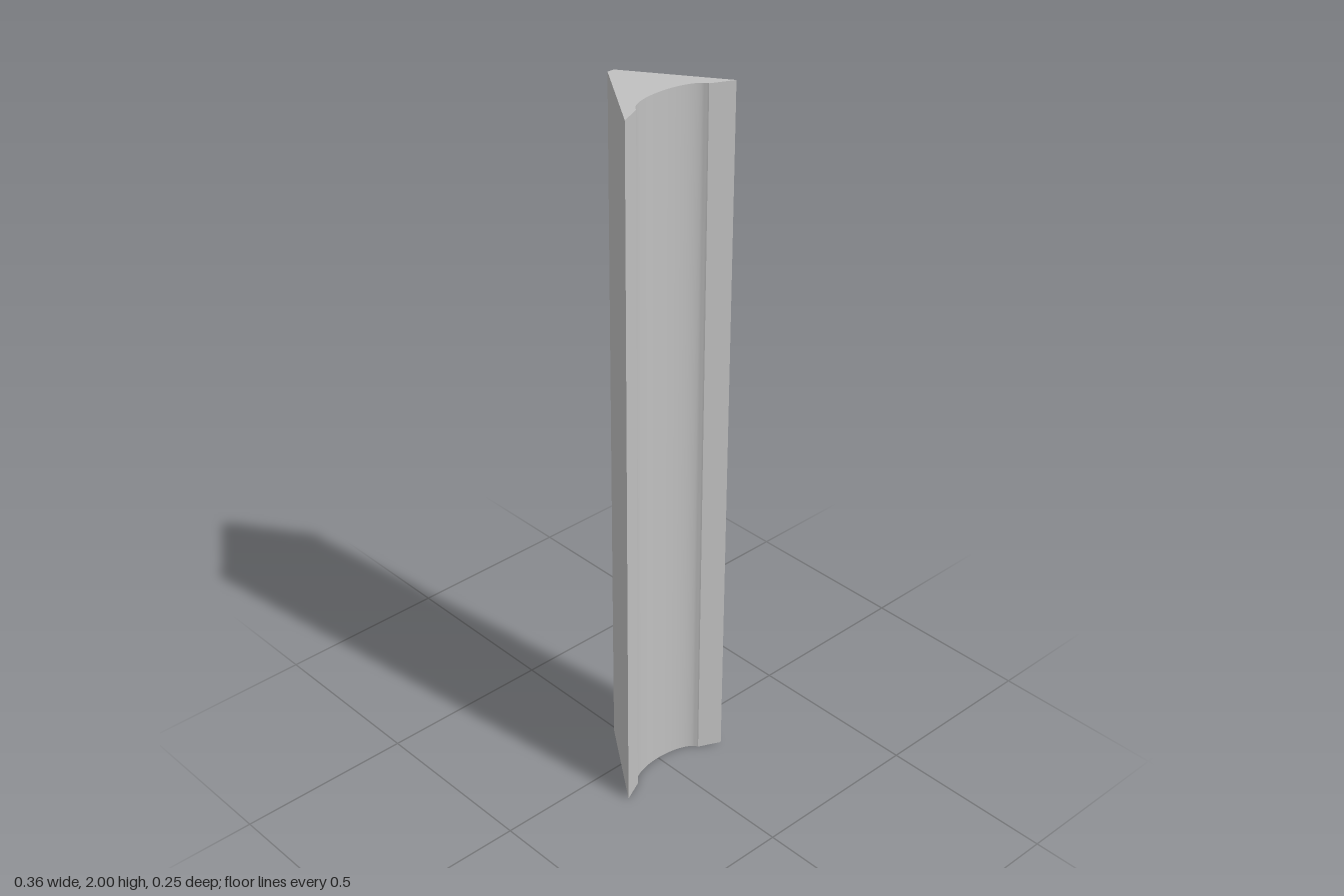
import * as THREE from 'three';
import { toCreasedNormals } from 'three/addons/utils/BufferGeometryUtils.js';

export function createModel() {
  const group = new THREE.Group();
  const grey = new THREE.MeshStandardMaterial({ color: 0xc0c0c0 });
  grey.name = 'light grey';

  // Wedge column: straight flanks, narrow flat back, hollow elliptical front.
  // Shape y is -z, so the extrusion stands up after a quarter turn.
  const outline = new THREE.Shape();
  outline.moveTo(-0.178, -0.121);
  const steps = 28, start = 0.16;
  for (let i = 0; i <= steps; i++) {
    const a = Math.PI - start - (i / steps) * (Math.PI - 2 * start);
    outline.lineTo(0.118 * Math.cos(a), -0.1 + 0.05 * Math.sin(a));
  }
  outline.lineTo(0.178, -0.121);
  outline.lineTo(0.011, 0.125);
  outline.lineTo(-0.009, 0.125);
  outline.closePath();
  const columnGeometry = new THREE.ExtrudeGeometry(outline, { depth: 2, bevelEnabled: false });
  columnGeometry.rotateX(-Math.PI / 2);
  const column = new THREE.Mesh(toCreasedNormals(columnGeometry, 0.4), grey);
  column.name = 'column';
  group.add(column);

  // Thin panel floating just off the left flank
  const bottom = 0.8, top = 1.72;
  const panel = new THREE.Mesh(new THREE.BoxGeometry(0.003, top - bottom, 0.249), grey);
  panel.name = 'sidePanel';
  panel.position.set(0.0985, (bottom + top) / 2, -0.009);
  panel.rotation.y = Math.atan2(0.137, 0.208);
  group.add(panel);

  return group;
}
